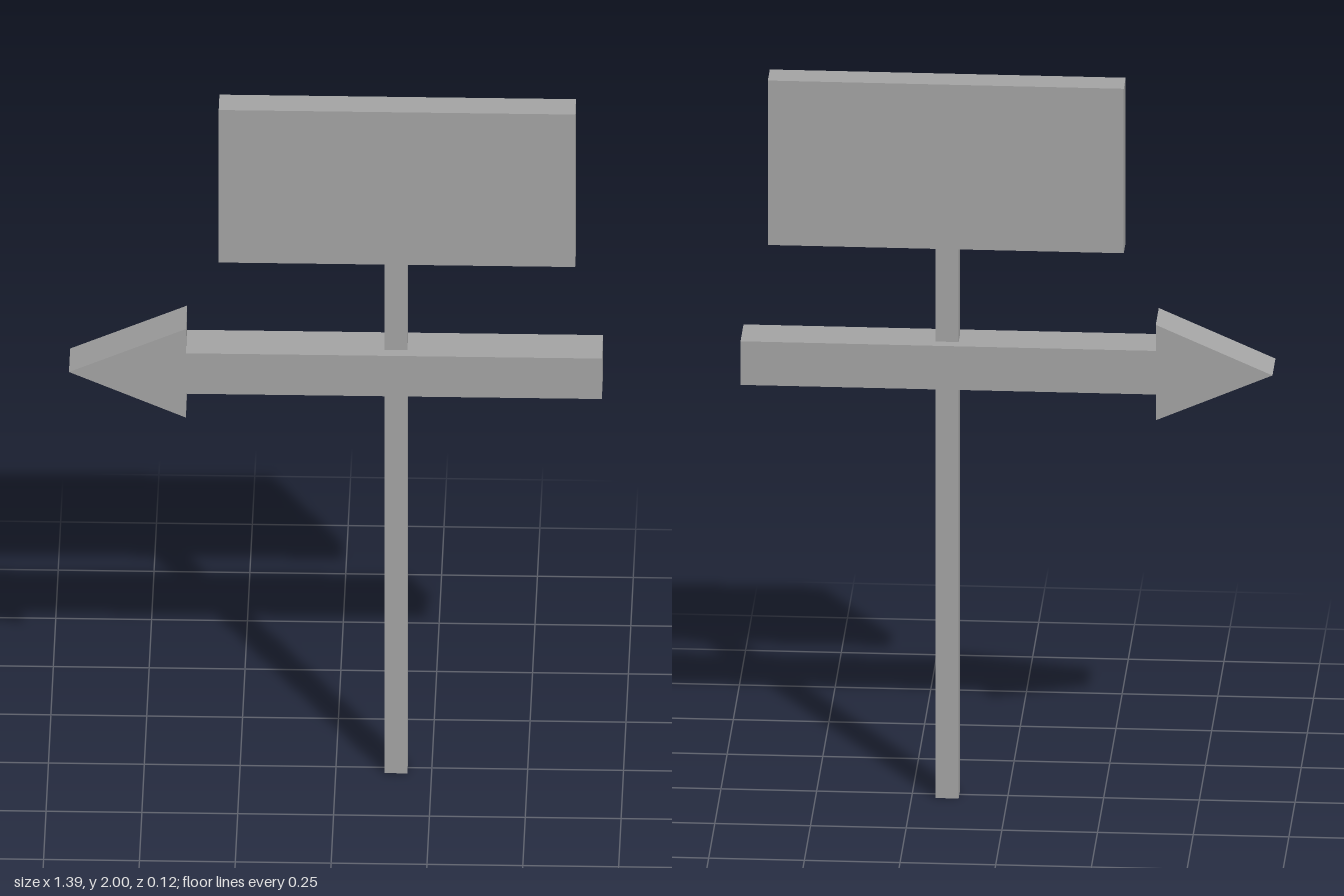
import * as THREE from 'three';

export function createModel() {
  const group = new THREE.Group();
  const gray = new THREE.MeshStandardMaterial({ color: 0xa6a6a6, side: THREE.DoubleSide });
  gray.name = 'plain gray';
  const postX = 0.157;

  const add = (name, geometry, x = 0, y = 0, z = 0) => {
    const mesh = new THREE.Mesh(geometry, gray);
    mesh.name = name;
    mesh.position.set(x, y, z);
    group.add(mesh);
  };

  // Square post section, open at both ends
  const addPost = (name, y0, y1) => {
    const r = 0.03 * Math.SQRT2;
    const tube = new THREE.CylinderGeometry(r, r, y1 - y0, 4, 1, true)
      .rotateY(Math.PI / 4).toNonIndexed();
    tube.computeVertexNormals();
    add(name, tube, postX, (y0 + y1) / 2);
  };
  addPost('lowerPost', 0, 1.155);
  addPost('upperPost', 1.277, 1.54);

  // Rectangular sign board
  add('signBoard', new THREE.BoxGeometry(0.93, 0.46, 0.08), 0.16, 1.77);

  // Arrow pointing to the model's right
  const arrow = new THREE.Shape([
    [-0.695, 1.216], [-0.39, 1.083], [-0.39, 1.155], [0.695, 1.155],
    [0.695, 1.277], [-0.39, 1.277], [-0.39, 1.35],
  ].map(([x, y]) => new THREE.Vector2(x, y)));
  add('arrow', new THREE.ExtrudeGeometry(arrow, { depth: 0.122, bevelEnabled: false }), 0, 0, -0.061);

  return group;
}
